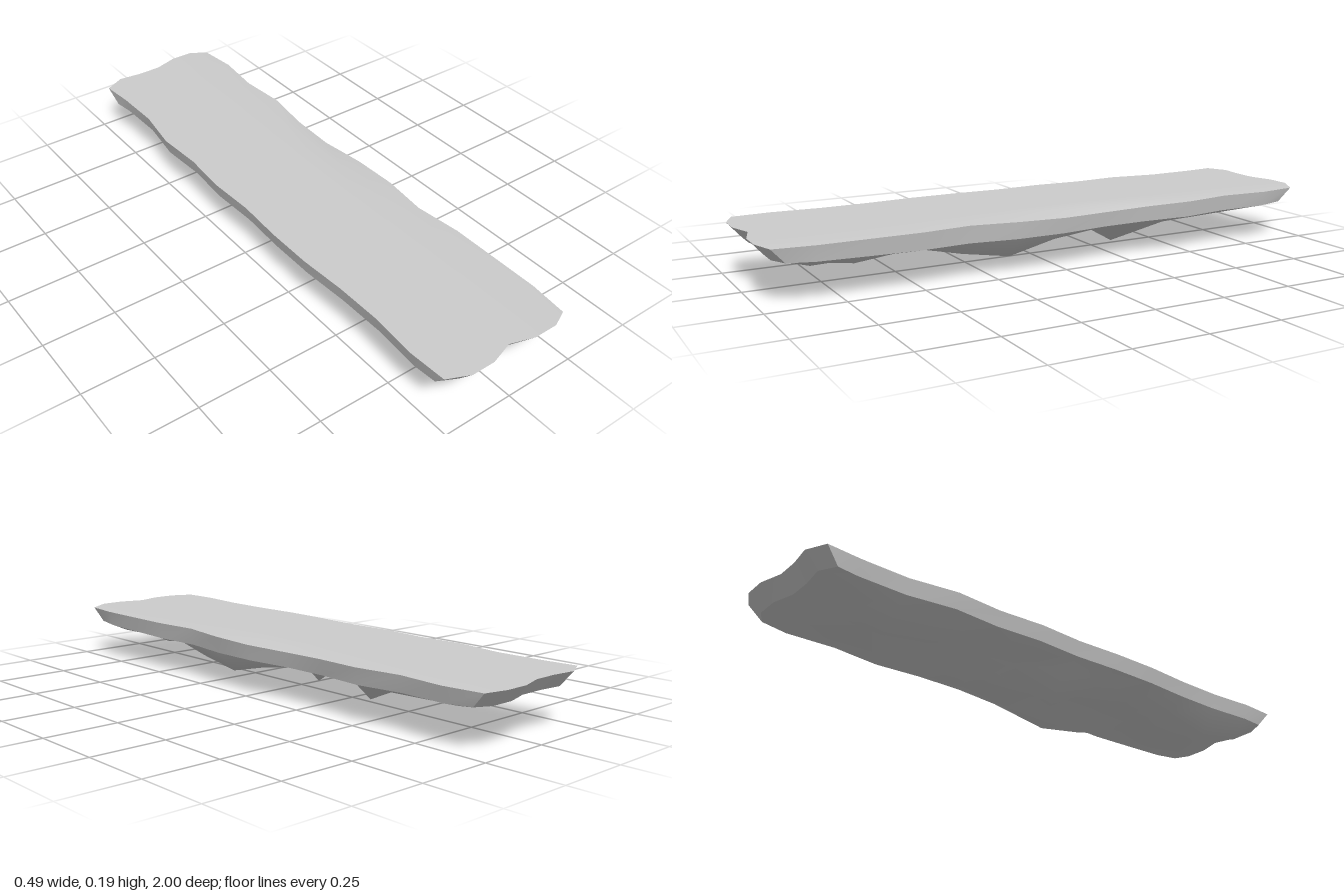
import * as THREE from 'three';

const COLS = 7, ROWS = 13;
const TOP = 0.185, RIM = 0.132;

// Wavy outline, listed from back to front (sides) and from -x to +x (ends)
const sideNeg = [-0.235, -0.225, -0.222, -0.247, -0.237, -0.248, -0.24, -0.248, -0.248, -0.237, -0.235, -0.247, -0.24];
const sidePos = [0.226, 0.241, 0.226, 0.242, 0.224, 0.223, 0.242, 0.243, 0.224, 0.242, 0.242, 0.242, 0.228];
const endBack = [-0.95, -0.985, -0.975, -0.975, -1, -1, -0.97];
const endFront = [0.962, 0.996, 0.996, 0.97, 0.996, 0.996, 0.966];

// Depths of the rocky underside: [column, row, y]
const lumps = [
  [1, 10, 0.043], [1, 11, 0.07], [1, 9, 0.085], [2, 10, 0.09], [2, 11, 0.1],
  [4, 10, 0.068], [4, 11, 0.09], [5, 7, 0.047], [5, 8, 0.075], [5, 6, 0.085],
  [2, 6, 0], [3, 4, 0.008], [4, 3, 0.075], [2, 2, 0.05], [2, 3, 0.08], [4, 2, 0.08],
];

// Top surface point for column i, row j
function topPoint(i, j) {
  const x = i === 0 ? sideNeg[j] : i === COLS - 1 ? sidePos[j] : (i - 3) * 0.0825;
  const z = j === 0 ? endBack[i] : j === ROWS - 1 ? endFront[i] : (j - 6) / 6;
  const dip = i === COLS - 1 ? 0.005 + 0.01 * Math.exp(-(((z + 0.15) / 0.3) ** 2)) : 0;
  return [x, TOP - dip, z];
}

// Underside point: inset rim, uneven interior
function bottomPoint(i, j) {
  const [x, , z] = topPoint(i, j);
  const onSide = i === 0 || i === COLS - 1, onEnd = j === 0 || j === ROWS - 1;
  if (onSide || onEnd) {
    const sag = i === COLS - 1 ? 0.014 * (1 - z * z) : 0;
    return [onSide ? x * 0.95 : x, RIM - sag, onEnd ? z * 0.953 : z];
  }
  const lump = lumps.find(([a, b]) => a === i && b === j);
  return [x, lump ? lump[2] : 0.106 + 0.006 * Math.sin(i * 2.3 + j * 1.7), z];
}

function surface(points, cols, flip, material, name) {
  const rows = points.length / cols, index = [];
  for (let j = 0; j < rows - 1; j++) {
    for (let i = 0; i < cols - 1; i++) {
      const a = j * cols + i, b = a + 1, c = a + cols, d = c + 1;
      index.push(...(flip ? [a, b, c, b, d, c] : [a, c, b, b, c, d]));
    }
  }
  const geometry = new THREE.BufferGeometry();
  geometry.setAttribute('position', new THREE.Float32BufferAttribute(points.flat(), 3));
  geometry.setIndex(index);
  geometry.computeVertexNormals();
  const mesh = new THREE.Mesh(geometry, material);
  mesh.name = name;
  return mesh;
}

function gridPoints(fn) {
  const points = [];
  for (let j = 0; j < ROWS; j++) for (let i = 0; i < COLS; i++) points.push(fn(i, j));
  return points;
}

export function createModel() {
  const group = new THREE.Group();
  group.name = 'rockPlatform';
  const material = new THREE.MeshStandardMaterial({ color: 0xcccccc });

  // Walkable top and lumpy underside
  group.add(surface(gridPoints(topPoint), COLS, false, material, 'top'));
  group.add(surface(gridPoints(bottomPoint), COLS, true, material, 'underside'));

  // Sloping rim, one strip per edge so that the corners stay sharp
  const range = (n) => Array.from({ length: n }, (_, k) => k);
  const edges = {
    frontRim: range(COLS).map((i) => [i, ROWS - 1]),
    leftRim: range(ROWS).map((j) => [COLS - 1, ROWS - 1 - j]),
    backRim: range(COLS).map((i) => [COLS - 1 - i, 0]),
    rightRim: range(ROWS).map((j) => [0, j]),
  };
  for (const [name, cells] of Object.entries(edges)) {
    const points = [...cells.map((c) => topPoint(...c)), ...cells.map((c) => bottomPoint(...c))];
    group.add(surface(points, cells.length, false, material, name));
  }
  return group;
}
